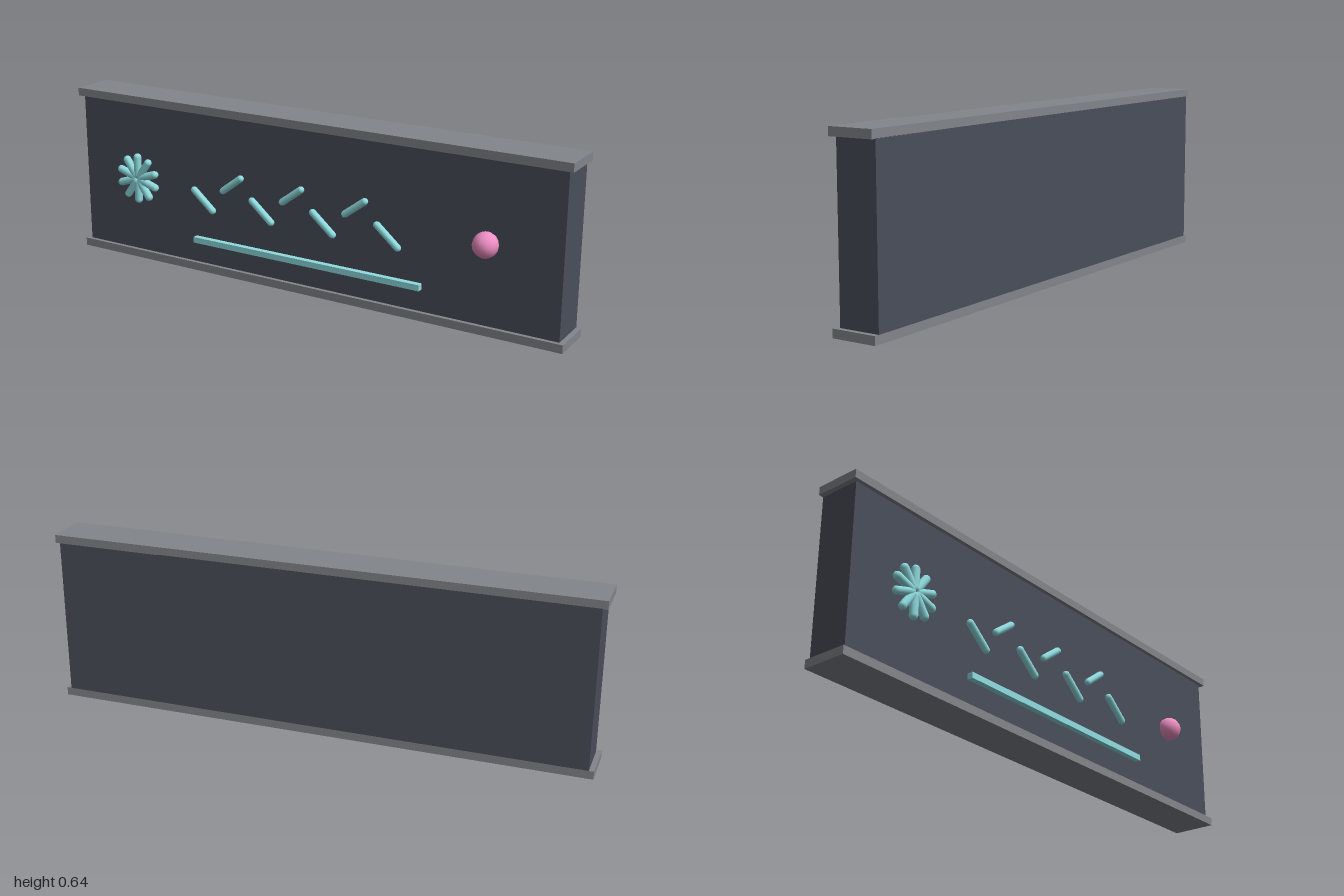
import * as THREE from 'three';

const mat = (color) => new THREE.MeshStandardMaterial({ color });

export function createModel() {
  const model = new THREE.Group();
  const panelMat = mat(0x4a4e5a), trimMat = mat(0x82858a);
  const glowMat = mat(0x8fdce0), knobMat = mat(0xee8fc4);

  const add = (name, geometry, material, x, y, z, tilt = 0) => {
    const mesh = new THREE.Mesh(geometry, material);
    mesh.name = name;
    mesh.position.set(x, y, z);
    mesh.rotation.z = tilt;
    model.add(mesh);
    return mesh;
  };

  // Sign board with a trim along the top and bottom, flush at the back
  add('panel', new THREE.BoxGeometry(1.965, 0.58, 0.15), panelMat, 0, 0.32, -0.03);
  const trim = new THREE.BoxGeometry(2, 0.03, 0.165);
  add('bottomTrim', trim, trimMat, 0, 0.015, -0.0225);
  add('topTrim', trim, trimMat, 0, 0.623, -0.0225);

  // Starburst of ten rounded spokes
  const spokes = 10, reach = 0.083;
  const spoke = new THREE.CapsuleGeometry(0.015, reach - 0.015, 4, 8);
  for (let i = 0; i < spokes; i++) {
    const a = (i / spokes) * Math.PI * 2;
    const r = (reach + 0.015) / 2;
    add('starSpoke', spoke, glowMat, -0.722 - Math.sin(a) * r, 0.32 + Math.cos(a) * r, 0.062, a);
  }

  // Zigzag of alternating rounded dashes
  const falling = new THREE.CapsuleGeometry(0.013, 0.106, 4, 8);
  const rising = new THREE.CapsuleGeometry(0.013, 0.097, 4, 8);
  for (let i = 0; i < 7; i++) {
    const up = i % 2 === 1;
    add('zigzagDash', up ? rising : falling, glowMat,
      -0.417 + i * 0.1285, up ? 0.363 : 0.283, 0.062, up ? -0.93 : 0.87);
  }

  // Underline bar
  add('underline', new THREE.BoxGeometry(0.943, 0.022, 0.022), glowMat, 0.015, 0.126, 0.066);

  // Round knob
  add('knob', new THREE.SphereGeometry(0.045, 12, 8), knobMat, 0.717, 0.32, 0.062);

  return model;
}
